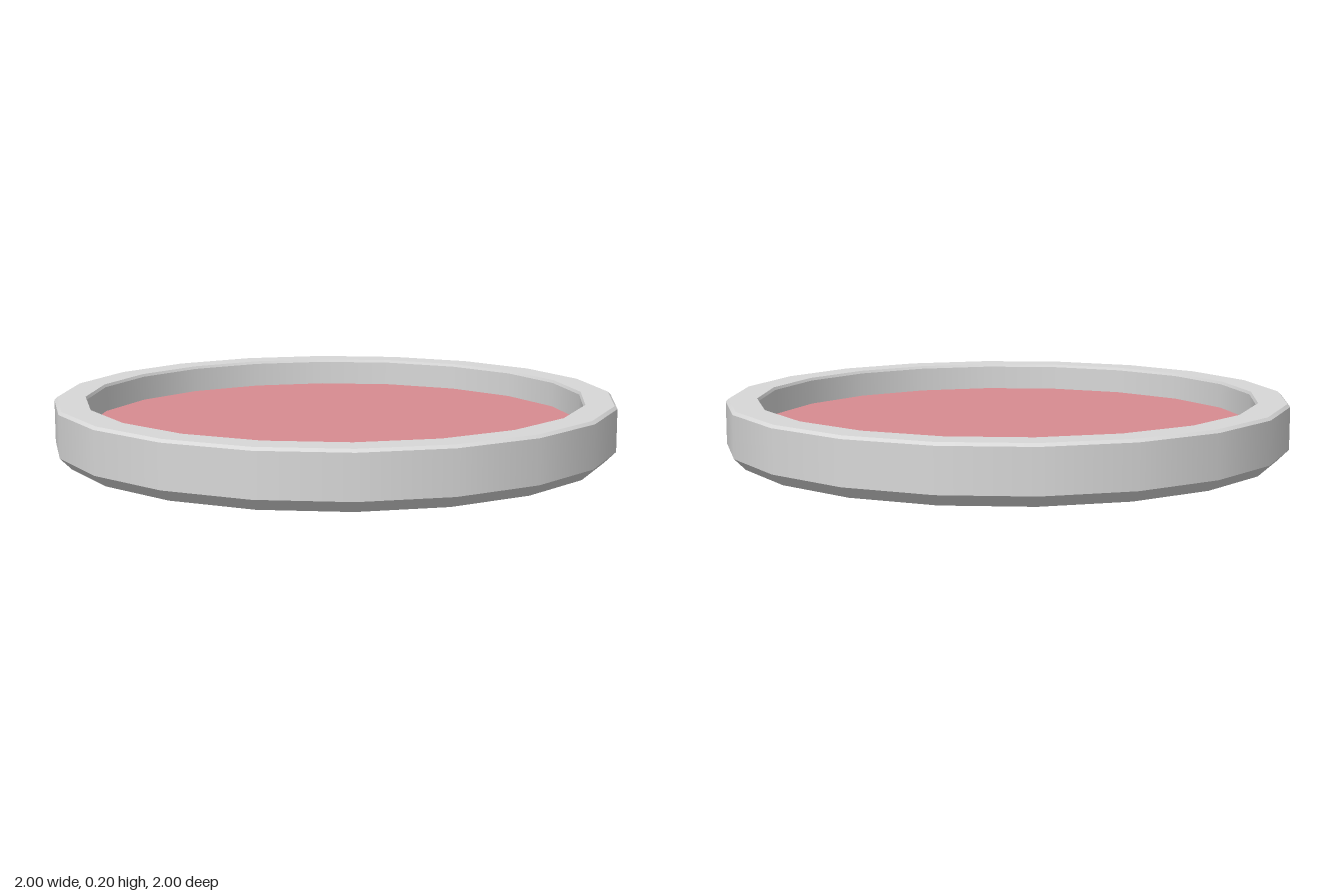
import * as THREE from 'three';

const SIDES = 20;

export function createModel() {
  const model = new THREE.Group();
  model.name = 'dish';

  const grey = new THREE.MeshStandardMaterial({ color: 0xd8d8d8 });
  grey.name = 'light grey';
  const pink = new THREE.MeshStandardMaterial({ color: 0xd88c91 });
  pink.name = 'dusty pink';

  // One ring of the dish, smooth around the axis and sharp at its edges
  function ring(name, from, to, material) {
    const points = [new THREE.Vector2(...from), new THREE.Vector2(...to)];
    const mesh = new THREE.Mesh(new THREE.LatheGeometry(points, SIDES), material);
    mesh.name = name;
    model.add(mesh);
  }

  // Profile from the underside, up the outside, over the rim and down to the floor
  const profile = [[0, 0], [0.96, 0], [1, 0.04], [1, 0.19], [0.99, 0.2], [0.89, 0.2], [0.885, 0.19], [0.885, 0.1], [0, 0.1]];
  const names = ['underside', 'baseChamfer', 'outerWall', 'outerRimBevel', 'rimTop', 'innerRimBevel', 'innerWall', 'floor'];
  names.forEach((name, i) => ring(name, profile[i], profile[i + 1], name === 'floor' ? pink : grey));

  return model;
}
